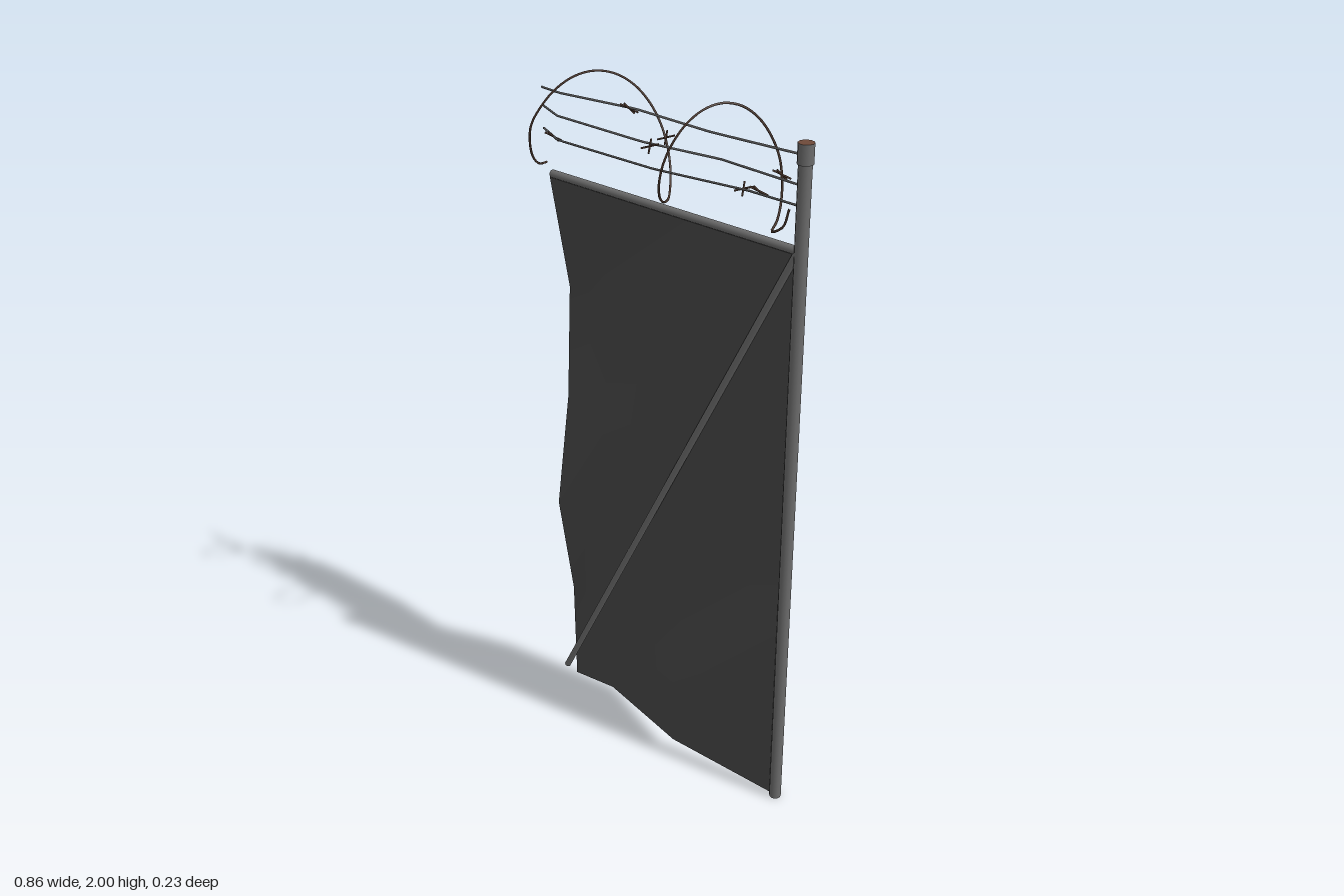
import * as THREE from 'three';

const mat = (name, color, side = THREE.FrontSide) => {
  const m = new THREE.MeshStandardMaterial({ color, side });
  m.name = name;
  return m;
};

export function createModel() {
  const model = new THREE.Group();
  model.name = 'barbedFencePanel';
  const steel = mat('galvanised steel', 0x6c6c6c);
  const sheetGrey = mat('dark sheet', 0x484848, THREE.DoubleSide);
  const rust = mat('rusty brown', 0x6e4a3a);
  const wireGrey = mat('wire grey', 0x5c5c5c);
  const coilBrown = mat('coil brown', 0x4c382e);

  const add = (name, geometry, material, parent = model) => {
    const mesh = new THREE.Mesh(geometry, material);
    mesh.name = name;
    parent.add(mesh);
    return mesh;
  };
  const v = (p) => new THREE.Vector3(...p);

  // Straight round bar between two points
  const bar = (name, a, b, r, material, sides = 10, parent = model) => {
    const A = v(a), B = v(b), d = B.clone().sub(A);
    const mesh = add(name, new THREE.CylinderGeometry(r, r, d.length(), sides), material, parent);
    mesh.position.copy(A).add(B).multiplyScalar(0.5);
    mesh.quaternion.setFromUnitVectors(new THREE.Vector3(0, 1, 0), d.normalize());
    return mesh;
  };

  // Post with a slightly wider, rust-topped cap
  const Z = -0.005;
  bar('post', [0.406, 0, Z], [0.406, 1.91, Z], 0.017, steel, 12);
  bar('postCap', [0.406, 1.905, Z], [0.406, 1.955, Z], 0.02, [steel, rust, steel], 12);

  // Top rail and diagonal brace
  bar('topRail', [-0.41, 1.69, Z - 0.002], [0.4, 1.69, Z - 0.002], 0.011, steel);
  bar('diagonalBrace', [-0.425, 0.05, Z + 0.003], [0.395, 1.685, Z], 0.01, steel, 8);

  // Buckled sheet: depth of each column, rows from top to bottom
  const columns = [-0.418, -0.28, 0.06, 0.4];
  const depth = [
    [-0.005, -0.005, -0.005, -0.005],
    [-0.065, -0.076, -0.006, -0.005],
    [-0.043, -0.05, -0.006, -0.005],
    [0.014, 0.008, -0.042, -0.005],
    [-0.035, -0.055, 0.05, -0.005],
    [-0.035, -0.055, 0.046, -0.005],
  ];
  const sheet = new THREE.PlaneGeometry(1, 1, 3, 5);
  depth.forEach((row, i) => row.forEach((z, j) => {
    const lift = i === 5 && j === 2 ? 0.045 : 0;
    sheet.attributes.position.setXYZ(i * 4 + j, columns[j], 1.68 * (1 - i / 5) + lift, z);
  }));
  sheet.computeVertexNormals();
  add('buckledSheet', sheet, sheetGrey);

  // Three sagging wires
  const wires = new THREE.Group();
  wires.name = 'straightWires';
  model.add(wires);
  const wirePaths = [
    [[-0.428, 1.92, 0], [-0.35, 1.923, 0.015], [-0.1, 1.93, 0.004], [0.12, 1.915, -0.015], [0.4, 1.925, -0.004]],
    [[-0.428, 1.873, 0], [-0.35, 1.867, 0.027], [-0.08, 1.852, 0.004], [0.125, 1.84, -0.05], [0.4, 1.85, -0.008]],
    [[-0.428, 1.812, 0], [-0.365, 1.796, 0.012], [-0.05, 1.788, -0.002], [0.215, 1.784, -0.045], [0.4, 1.802, -0.004]],
  ];
  wirePaths.forEach((points) => {
    const path = new THREE.CurvePath();
    points.slice(1).forEach((p, i) => path.add(new THREE.LineCurve3(v(points[i]), v(p))));
    add('wire', new THREE.TubeGeometry(path, 40, 0.003, 5), wireGrey, wires);
  });

  // Coil: x at each quarter turn, stretched along the panel
  const quarterX = [-0.422, -0.36, -0.24, -0.118, 0, 0.08, 0.165, 0.255, 0.322];
  const coilPoints = [];
  for (let k = 0; k <= 32; k++) {
    const i = Math.min(Math.floor(k / 4), 7), f = k / 4 - i;
    const t = (k / 4) * Math.PI / 2;
    coilPoints.push(new THREE.Vector3(
      THREE.MathUtils.lerp(quarterX[i], quarterX[i + 1], f),
      1.859 - 0.138 * Math.cos(t),
      0.11 * Math.sin(t),
    ));
  }
  coilPoints.push(v([0.36, 1.745, 0.008]), v([0.385, 1.8, 0.02]));
  const coil = new THREE.CatmullRomCurve3(coilPoints);
  add('barbedCoil', new THREE.TubeGeometry(coil, 140, 0.003, 6), coilBrown);

  // Barbs: pairs of short crossed spikes
  const barbs = new THREE.Group();
  barbs.name = 'barbs';
  model.add(barbs);
  [
    [-0.12, 1.928, 0.006], [-0.055, 1.846, 0.004], [-0.385, 1.8, 0.008], [0.2, 1.785, -0.045],
    [0.25, 1.793, -0.04], [-0.1, 1.83, -0.108], [0.268, 1.82, -0.105],
  ].forEach(([x, y, z], i) => {
    const tilt = i % 2 ? 1 : -1;
    bar('spike', [x - 0.022, y - 0.008 * tilt, z + 0.008], [x + 0.022, y + 0.008 * tilt, z - 0.008], 0.0025, coilBrown, 5, barbs);
    bar('spike', [x - 0.006, y + 0.014, z - 0.012 * tilt], [x + 0.006, y - 0.014, z + 0.012 * tilt], 0.0025, coilBrown, 5, barbs);
  });

  return model;
}
